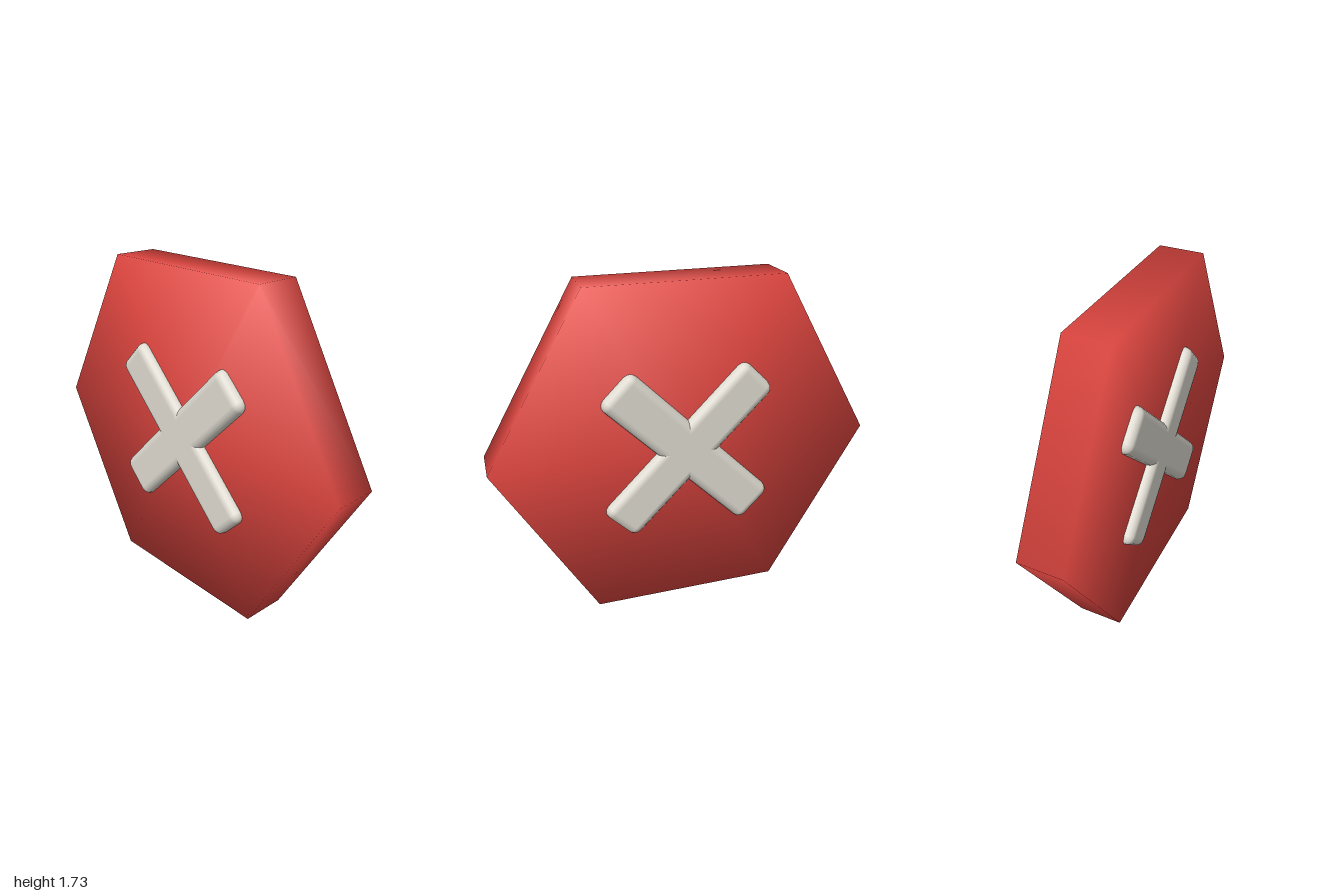
import * as THREE from 'three';
import { mergeVertices } from 'three/addons/utils/BufferGeometryUtils.js';
import { RoundedBoxGeometry } from 'three/addons/geometries/RoundedBoxGeometry.js';

const DEPTH = 0.234;
const CENTRE_Y = Math.sqrt(3) / 2;

// Hexagonal plate whose rim normals lean outward, so faces and sides shade as one soft surface
function softHexPlate() {
  let geo = new THREE.CylinderGeometry(1, 1, DEPTH, 6);
  geo.rotateY(Math.PI / 6 * 3); // corners on the x axis
  geo.rotateX(Math.PI / 2);
  geo.deleteAttribute('uv');
  geo.deleteAttribute('normal');
  geo = mergeVertices(geo, 1e-4);
  geo.computeVertexNormals();
  const p = geo.attributes.position, n = geo.attributes.normal;
  const tilt = THREE.MathUtils.degToRad(52);
  const v = new THREE.Vector3();
  for (let i = 0; i < p.count; i++) {
    const side = Math.sign(p.getZ(i));
    v.set(p.getX(i), p.getY(i), 0);
    if (v.length() < 0.01) v.set(0, 0, side);
    else v.normalize().multiplyScalar(Math.sin(tilt)).setZ(side * Math.cos(tilt));
    n.setXYZ(i, v.x, v.y, v.z);
  }
  return geo;
}

export function createModel() {
  const red = new THREE.MeshStandardMaterial({ color: 0xe04640 });
  red.name = 'red';
  const offWhite = new THREE.MeshStandardMaterial({ color: 0xdedad0 });
  offWhite.name = 'offWhite';

  const model = new THREE.Group();
  model.name = 'hexagonCrossSign';

  const plate = new THREE.Mesh(softHexPlate(), red);
  plate.name = 'hexagonPlate';
  plate.position.y = CENTRE_Y;
  model.add(plate);

  // Two rounded bars pass through the plate and cross on both faces
  const cross = new THREE.Group();
  cross.name = 'cross';
  cross.position.y = CENTRE_Y;
  const barGeo = new RoundedBoxGeometry(1.06, DEPTH, 0.326, 2, 0.046);
  for (const s of [1, -1]) {
    const bar = new THREE.Mesh(barGeo, offWhite);
    bar.name = s > 0 ? 'risingBar' : 'fallingBar';
    bar.rotation.z = s * Math.PI / 4;
    cross.add(bar);
  }
  model.add(cross);
  return model;
}
